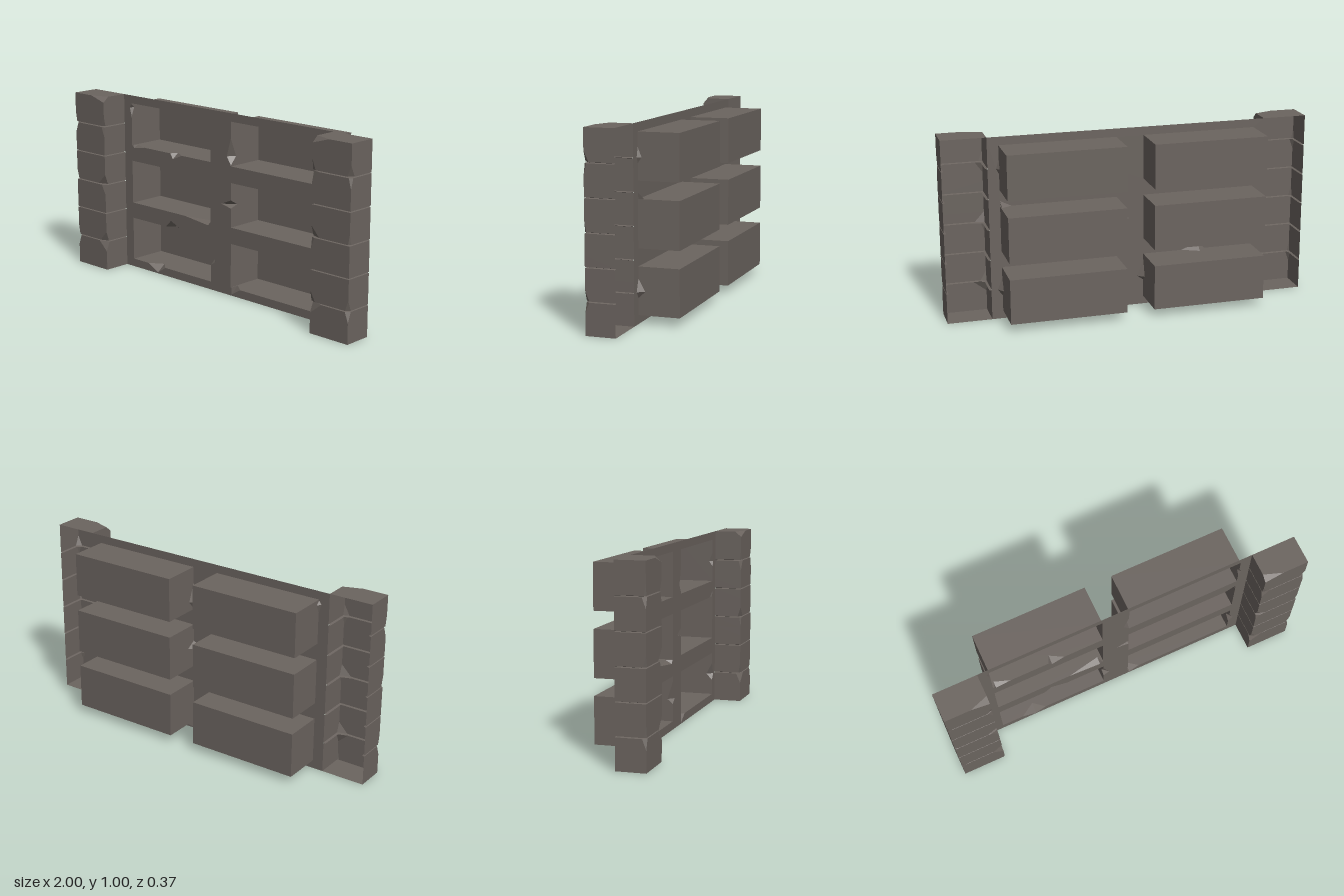
import * as THREE from 'three';
import { mergeGeometries } from 'three/addons/utils/BufferGeometryUtils.js';

const FRONT = 0.185, PANEL = 0.03, BACK = -0.185; // depths
const INNER = 0.76, OUTER = 1; // pillar sides

const stone = new THREE.MeshStandardMaterial({ color: 0x6b645f, side: THREE.DoubleSide });
const V2 = (x, y) => new THREE.Vector2(x, y);

function mesh(name, geometry) {
  const m = new THREE.Mesh(geometry, stone);
  m.name = name;
  return m;
}

function flat(points) {
  const g = new THREE.BufferGeometry().setFromPoints(points);
  g.computeVertexNormals();
  return g;
}

// Chips broken off the niche rims: side (0 bottom, 1 right, 2 top, 3 left),
// start and end along that side, the outermost point on the panel, depth inside.
const niches = [
  { x: [-0.70, -0.08], y: [0.045, 0.29], chips: [
    [0, -0.58, -0.44, -0.50, 0.006, 0.05], [1, 0.14, 0.26, -0.045, 0.165, 0.03], [2, -0.43, -0.30, -0.39, 0.33, 0.045]] },
  { x: [0.07, 0.70], y: [0.045, 0.29], chips: [
    [0, 0.075, 0.14, 0.075, 0.006, 0.05], [1, 0.13, 0.23, 0.725, 0.165, 0.035]] },
  { x: [-0.70, -0.08], y: [0.38, 0.625], chips: [
    [0, -0.28, -0.085, -0.10, 0.36, 0.035]] },
  { x: [0.07, 0.70], y: [0.38, 0.625], chips: [
    [2, 0.64, 0.695, 0.70, 0.655, 0.03], [3, 0.485, 0.53, 0.0, 0.50, 0.05]] },
  { x: [-0.70, -0.08], y: [0.715, 0.955], chips: [
    [0, -0.69, -0.60, -0.685, 0.70, 0.03], [0, -0.39, -0.30, -0.37, 0.685, 0.04], [3, 0.88, 0.95, -0.715, 0.93, 0.02]] },
  { x: [0.07, 0.70], y: [0.715, 0.955], chips: [
    [1, 0.80, 0.88, 0.715, 0.83, 0.02], [3, 0.72, 0.865, 0.04, 0.765, 0.04]] },
];

// One open-fronted niche box; also returns its chipped rim for the panel hole.
function makeNiche({ x, y, chips }) {
  const corners = [V2(x[0], y[0]), V2(x[1], y[0]), V2(x[1], y[1]), V2(x[0], y[1])];
  const depth = PANEL - BACK;
  const rim = [], parts = [], broken = [];

  corners.forEach((start, side) => {
    const end = corners[(side + 1) % 4];
    const dir = end.clone().sub(start).normalize();
    const length = start.distanceTo(end);
    const along = v => Math.abs(v - (side % 2 ? start.y : start.x));
    const at = (u, d) => new THREE.Vector3(start.x + dir.x * u, start.y + dir.y * u, PANEL - d);
    const wall = [V2(0, 0)];
    rim.push(start);

    for (const [s, from, to, ox, oy, inside] of chips) {
      if (s !== side) continue;
      const [u0, u1] = [along(from), along(to)].sort((p, q) => p - q);
      const tip = V2(ox, oy);
      const mid = THREE.MathUtils.clamp(tip.clone().sub(start).dot(dir), u0, u1);
      wall.push(V2(u0, 0), V2(mid, inside), V2(u1, 0));
      const a = at(u0, 0), b = at(u1, 0), i = at(mid, inside);
      const o = new THREE.Vector3(ox, oy, PANEL);
      rim.push(V2(a.x, a.y), tip, V2(b.x, b.y));
      broken.push(a, o, i, o, b, i);
    }
    wall.push(V2(length, 0), V2(length, depth), V2(0, depth));

    // stand the wall outline up along its side of the niche
    const basis = new THREE.Matrix4().makeBasis(
      new THREE.Vector3(dir.x, dir.y, 0), new THREE.Vector3(0, 0, -1), new THREE.Vector3(-dir.y, dir.x, 0));
    basis.setPosition(start.x, start.y, PANEL);
    parts.push(new THREE.ShapeGeometry(new THREE.Shape(wall)).applyMatrix4(basis));
  });

  parts.push(new THREE.ShapeGeometry(new THREE.Shape(corners)).translate(0, 0, BACK));
  const group = new THREE.Group();
  group.name = 'niche';
  group.add(mesh('nicheBox', mergeGeometries(parts)), mesh('chippedRim', flat(broken)));
  return { group, rim };
}

// Corner cuts per block, bottom to top: [inner low, inner high, outer low, outer high]
const cutsLeft = [
  [0, 0.07, 0, 0.02], [0.03, 0, 0.02, 0], [0, 0.02, 0, 0],
  [0.05, 0, 0.01, 0], [0, 0.04, 0, 0.015], [0.02, 0.1, 0.025, 0]];
const cutsRight = [
  [0.01, 0.06, 0, 0.02], [0.05, 0, 0.01, 0], [0, 0.03, 0, 0],
  [0.055, 0, 0.015, 0], [0, 0.02, 0, 0.02], [0.03, 0.1, 0.01, 0]];

// Stacked-block pillar, open at the back: cross-sections lofted upwards.
function makePillar(name, s, cuts) {
  const ring = (y, inner, outer, inset = 0) => {
    const xo = OUTER - inset, xi = INNER + inset, z = FRONT - inset;
    return [
      [xo, PANEL], [xo, z - outer], [xo - outer, z],
      [xi + inner, z], [xi, z - inner * 0.35], [xi, PANEL],
    ].map(([px, pz]) => new THREE.Vector3(s * px, y, pz));
  };
  const rings = [], h = 1 / cuts.length, gap = 0.003;
  cuts.forEach(([il, ih, ol, oh], k) => {
    const y0 = k * h + (k ? gap : 0);
    const y1 = (k + 1) * h - (k < cuts.length - 1 ? gap : 0);
    if (k) rings.push(ring(k * h, il, ol, 0.012)); // seam groove
    rings.push(ring(y0, il, ol), ring(y0 + 0.055, 0, 0),
      ring(y1 - (k === cuts.length - 1 ? 0.03 : 0.055), 0, 0), ring(y1, ih, oh));
  });

  const tris = [];
  const tri = (a, b, c) => (s > 0 ? tris.push(a, b, c) : tris.push(a, c, b));
  for (let k = 0; k < rings.length - 1; k++) {
    const lo = rings[k], hi = rings[k + 1];
    for (let i = 0; i < lo.length - 1; i++) {
      tri(lo[i], hi[i], hi[i + 1]);
      tri(lo[i], hi[i + 1], lo[i + 1]);
    }
  }
  // top and bottom caps
  const bottom = rings[0], top = rings[rings.length - 1];
  for (let i = 1; i < top.length - 1; i++) {
    tri(top[0], top[i + 1], top[i]);
    tri(bottom[0], bottom[i], bottom[i + 1]);
  }
  return mesh(name, flat(tris));
}

export function createModel() {
  const model = new THREE.Group();
  model.name = 'nicheWall';

  // front panel pierced by the niches
  const panel = new THREE.Shape([V2(-INNER, 0), V2(INNER, 0), V2(INNER, 1), V2(-INNER, 1)]);
  for (const spec of niches) {
    const { group, rim } = makeNiche(spec);
    panel.holes.push(new THREE.Path(rim));
    model.add(group);
  }
  model.add(mesh('wallPanel', new THREE.ShapeGeometry(panel).translate(0, 0, PANEL)));

  model.add(makePillar('leftPillar', 1, cutsLeft), makePillar('rightPillar', -1, cutsRight));
  return model;
}
